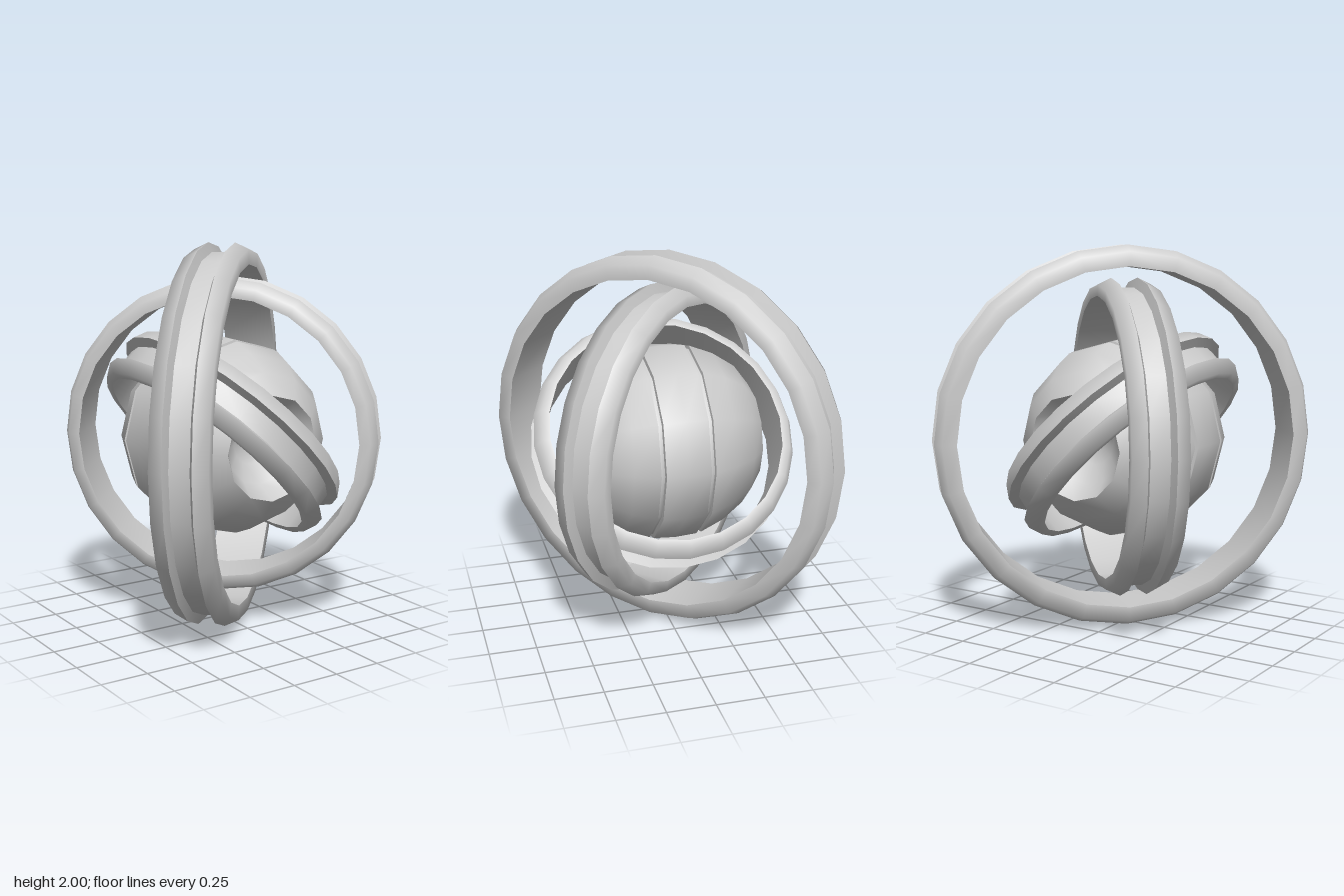
import * as THREE from 'three';
import { toCreasedNormals } from 'three/addons/utils/BufferGeometryUtils.js';

const material = new THREE.MeshStandardMaterial({ color: 0xcccccc });

// Revolve a profile of [radius, height] pairs, keeping sharp edges sharp
function revolve(name, points, segments, crease) {
  const lathe = new THREE.LatheGeometry(points.map(([r, h]) => new THREE.Vector2(r, h)), segments);
  const mesh = new THREE.Mesh(toCreasedNormals(lathe, crease), material);
  mesh.name = name;
  return mesh;
}

// Grooved gimbal ring, turned so that its axis points along the given direction
function ring(name, radius, axis) {
  const half = 0.142;
  const edge = radius - 0.035, inner = radius * 0.89, floor = radius - 0.05;
  const mesh = revolve(name, [
    [inner, -half], [edge, -half], [radius, -0.07], [floor, -0.05],
    [floor, 0.05], [radius, 0.07], [edge, half], [inner, half], [inner, -half],
  ], 24, 1.15);
  mesh.quaternion.setFromUnitVectors(new THREE.Vector3(0, 1, 0), axis.normalize());
  return mesh;
}

export function createModel() {
  const model = new THREE.Group();
  model.name = 'gyroscope';

  const gimbal = new THREE.Group();
  gimbal.name = 'gimbal';
  gimbal.position.y = 1;
  model.add(gimbal);

  // Three nested rings
  gimbal.add(
    ring('outerRing', 1, new THREE.Vector3(1, 0, 1)),
    ring('middleRing', 0.83, new THREE.Vector3(1, 0, -1)),
    ring('innerRing', 0.69, new THREE.Vector3(1, 1, 0)),
  );

  // Core ball: hollow at both ends, with two narrow grooves around its waist
  const half = [
    [0, 0.25], [0.11, 0.28], [0.2, 0.355], [0.268, 0.465],
    [0.375, 0.385], [0.455, 0.265], [0.505, 0.14],
    [0.488, 0.137], [0.488, 0.118], [0.51, 0.115], 
  ];
  const profile = [...half.map(([r, h]) => [r, -h]), [0.517, 0], ...half.slice().reverse()];
  const core = revolve('core', profile, 12, 0.9);
  core.rotation.x = Math.PI / 2;
  gimbal.add(core);

  return model;
}
